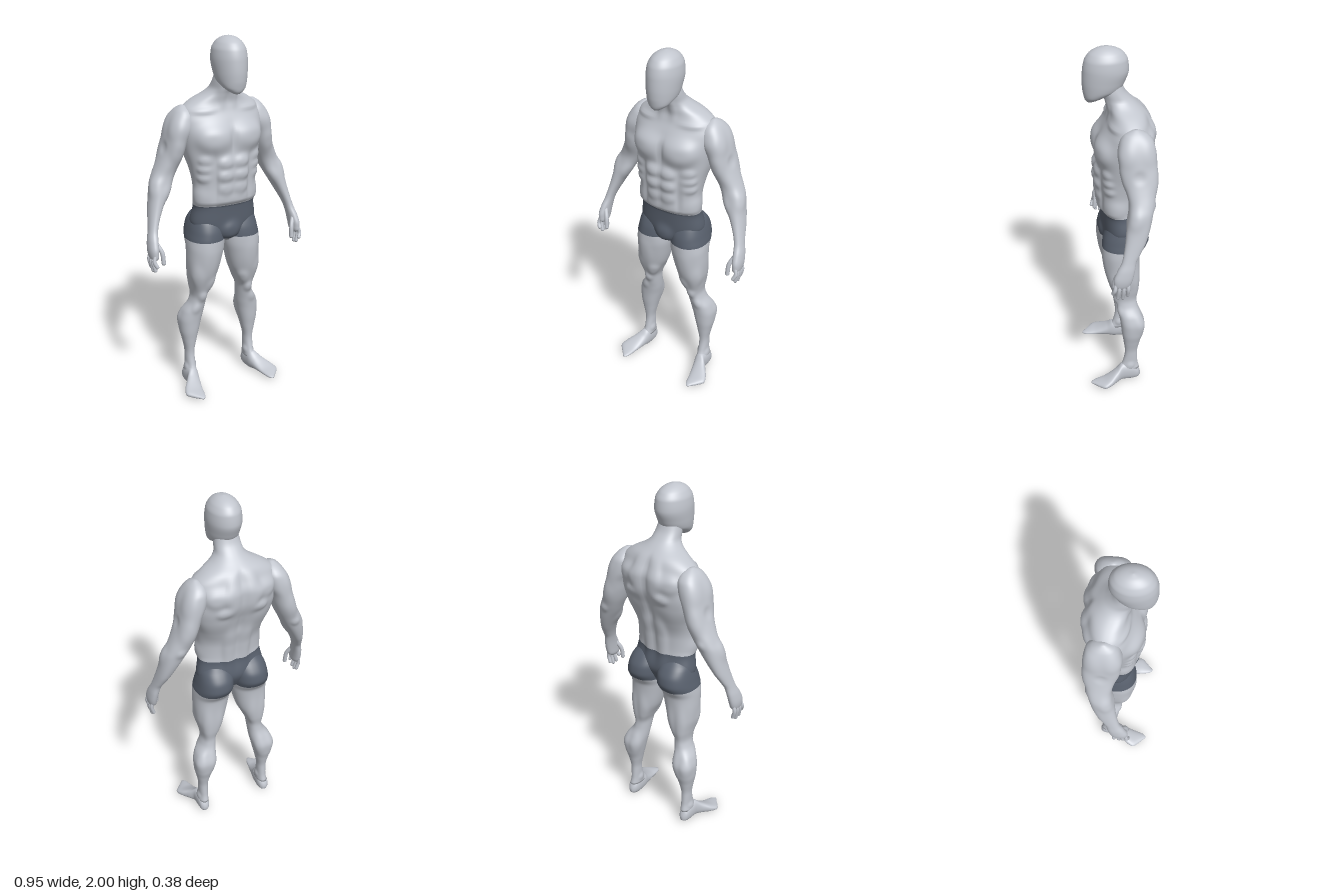
import * as THREE from 'three';

const skin = new THREE.MeshStandardMaterial({ color: 0xc2c6ce });
skin.name = 'pale grey skin';
const cloth = new THREE.MeshStandardMaterial({ color: 0x59616e });
cloth.name = 'slate shorts';

// Smooth monotone interpolation of column c of the key sections at height y
function sample(keys, c, y) {
  const last = keys.length - 1;
  let k = 0;
  while (k < last - 1 && y > keys[k + 1][0]) k++;
  const sec = (i) => (keys[i + 1][c] - keys[i][c]) / (keys[i + 1][0] - keys[i][0]);
  const slope = (i) => {
    if (i === 0) return sec(0);
    if (i === last) return sec(last - 1);
    const a = sec(i - 1), b = sec(i);
    return a * b <= 0 ? 0 : (2 * a * b) / (a + b);
  };
  const h = keys[k + 1][0] - keys[k][0];
  const t = Math.min(1, Math.max(0, (y - keys[k][0]) / h));
  const t2 = t * t, t3 = t2 * t;
  return (2 * t3 - 3 * t2 + 1) * keys[k][c] + (t3 - 2 * t2 + t) * h * slope(k)
    + (3 * t2 - 2 * t3) * keys[k + 1][c] + (t3 - t2) * h * slope(k + 1);
}

// Loft of rounded sections [y, xMin, xMax, zMin, zMax], swollen by muscles
// [x, y, z, radius, height radius, amount]; the band 0.9 < y < 1.1 can be cloth
function loft(name, keys, { muscles = [], mirror = false, power = 2.25, step = 0.01, seg = 64, shorts = false } = {}) {
  const y0 = keys[0][0], y1 = keys[keys.length - 1][0];
  const rows = Math.round((y1 - y0) / step);
  const pos = [], skinIdx = [], clothIdx = [];
  const soft = (v) => Math.sign(v) * Math.abs(v) ** (2 / power);
  const centre = (y) => {
    const [a, b, c, d] = [1, 2, 3, 4].map((i) => sample(keys, i, y));
    return { x: (a + b) / 2, z: (c + d) / 2, w: (b - a) / 2, d: (d - c) / 2 };
  };
  for (let i = 0; i <= rows; i++) {
    const y = y0 + ((y1 - y0) * i) / rows, s = centre(y);
    for (let j = 0; j < seg; j++) {
      const a = (j / seg) * Math.PI * 2;
      let x = s.x + s.w * soft(Math.cos(a)), z = s.z + s.d * soft(Math.sin(a));
      let push = 0;
      for (const [mx, my, mz, r, ry, amt] of muscles) {
        const px = mirror ? Math.abs(x) : x;
        const q = ((px - mx) / r) ** 2 + ((y - my) / ry) ** 2 + ((z - mz) / r) ** 2;
        push += amt * Math.exp(-(q ** 1.5));
      }
      const len = Math.hypot(x - s.x, z - s.z) || 1;
      pos.push(x + ((x - s.x) / len) * push, y, z + ((z - s.z) / len) * push);
    }
  }
  for (let i = 0; i < rows; i++) {
    const mid = y0 + ((y1 - y0) * (i + 0.5)) / rows;
    const out = shorts && mid > 0.9 && mid < 1.1 ? clothIdx : skinIdx;
    for (let j = 0; j < seg; j++) {
      const a = i * seg + j, b = i * seg + ((j + 1) % seg);
      out.push(a, a + seg, b, b, a + seg, b + seg);
    }
  }
  // End caps
  for (const [y, row] of [[y0, 0], [y1, rows]]) {
    const s = centre(y), c = pos.length / 3;
    pos.push(s.x, y, s.z);
    for (let j = 0; j < seg; j++) {
      const a = row * seg + j, b = row * seg + ((j + 1) % seg);
      const out = shorts && y > 0.9 && y < 1.1 ? clothIdx : skinIdx;
      if (row) out.push(c, b, a); else out.push(c, a, b);
    }
  }
  const g = new THREE.BufferGeometry();
  g.setAttribute('position', new THREE.Float32BufferAttribute(pos, 3));
  g.setIndex([...skinIdx, ...clothIdx]);
  g.addGroup(0, skinIdx.length, 0);
  g.addGroup(skinIdx.length, clothIdx.length, 1);
  g.computeVertexNormals();
  const mesh = new THREE.Mesh(g, [skin, cloth]);
  mesh.name = name;
  return mesh;
}

const even = (rows) => rows.map(([y, w, zb, zf]) => [y, -w, w, zb, zf]);

function makeTorso() {
  const keys = even([
    [0.88, 0.03, -0.05, 0.05], [0.92, 0.10, -0.08, 0.09], [1.0, 0.195, -0.11, 0.095],
    [1.1, 0.18, -0.09, 0.10], [1.12, 0.181, -0.09, 0.117], [1.2, 0.182, -0.095, 0.12],
    [1.3, 0.195, -0.12, 0.125], [1.4, 0.218, -0.15, 0.117], [1.5, 0.235, -0.168, 0.108],
    [1.56, 0.24, -0.168, 0.088], [1.62, 0.22, -0.152, 0.062], [1.66, 0.17, -0.138, 0.052],
    [1.7, 0.1, -0.1, 0.06], [1.73, 0.074, -0.068, 0.075], [1.77, 0.068, -0.035, 0.088], [1.82, 0.06, -0.015, 0.1]]);
  const muscles = [
    [0.1, 1.475, 0.1, 0.093, 0.075, 0.034], [0, 1.48, 0.12, 0.016, 0.08, -0.012], // chest
    [0.14, 1.615, 0.05, 0.06, 0.014, 0.01], [0.035, 1.68, 0.06, 0.022, 0.05, 0.008], // collar and neck
    [0.045, 1.345, 0.12, 0.042, 0.033, 0.017], [0.045, 1.272, 0.12, 0.042, 0.033, 0.017],
    [0.043, 1.2, 0.12, 0.04, 0.034, 0.013], [0.04, 1.14, 0.12, 0.045, 0.03, 0.005], // abdominals
    [0.105, 1.25, 0.1, 0.018, 0.13, -0.009],
    [0.16, 1.15, 0.04, 0.06, 0.05, 0.009], // flanks
    [0.15, 1.36, 0.08, 0.035, 0.025, 0.011], [0.155, 1.31, 0.075, 0.035, 0.022, 0.011],
    [0.155, 1.26, 0.07, 0.035, 0.022, 0.01], // ribs
    [0.15, 1.4, -0.12, 0.085, 0.13, 0.016], [0.13, 1.55, -0.15, 0.06, 0.05, 0.02],
    [0.05, 1.55, -0.16, 0.04, 0.11, 0.022], [0.095, 1.46, -0.16, 0.035, 0.03, 0.014], // upper back
    [0.045, 1.2, -0.1, 0.035, 0.16, 0.015], [0, 1.36, -0.14, 0.02, 0.3, -0.012], // spine
    [0, 0.95, 0.09, 0.05, 0.05, 0.018]];
  return loft('torso', keys, { muscles, mirror: true, seg: 112, shorts: true });
}

function makeHead() {
  return loft('head', even([
    [1.712, 0.016, 0.125, 0.16], [1.725, 0.038, 0.1, 0.17], [1.745, 0.06, 0.06, 0.176],
    [1.78, 0.077, -0.012, 0.182], [1.82, 0.084, -0.036, 0.184], [1.88, 0.089, -0.055, 0.181],
    [1.93, 0.084, -0.05, 0.171], [1.965, 0.067, -0.03, 0.15], [1.985, 0.046, -0.002, 0.122],
    [1.996, 0.024, 0.03, 0.092], [2.0, 0.004, 0.055, 0.065]]), { power: 2, step: 0.004 });
}

function makeLeg() {
  const keys = [
    [0.08, 0.168, 0.23, -0.095, 0.025], [0.13, 0.17, 0.222, -0.085, 0], [0.2, 0.17, 0.222, -0.083, -0.012],
    [0.28, 0.155, 0.235, -0.098, -0.003], [0.34, 0.14, 0.247, -0.115, 0.006], [0.4, 0.126, 0.25, -0.12, 0.012],
    [0.46, 0.115, 0.235, -0.104, 0.02], [0.52, 0.11, 0.198, -0.085, 0.03], [0.56, 0.107, 0.188, -0.08, 0.04],
    [0.62, 0.085, 0.197, -0.088, 0.055], [0.7, 0.047, 0.212, -0.095, 0.078], [0.8, 0.021, 0.217, -0.1, 0.096],
    [0.85, 0.011, 0.217, -0.105, 0.102], [0.9, 0.006, 0.215, -0.135, 0.104], [0.94, 0.005, 0.208, -0.153, 0.1],
    [0.98, 0.006, 0.2, -0.148, 0.088], [1.03, 0.015, 0.184, -0.118, 0.06], [1.08, 0.07, 0.13, -0.06, 0]];
  const muscles = [
    [0.1, 0.63, 0.05, 0.035, 0.05, 0.013], [0.185, 0.68, 0.05, 0.04, 0.08, 0.01],
    [0.13, 0.77, 0.09, 0.045, 0.12, 0.008], [0.148, 0.56, 0.04, 0.025, 0.028, 0.009], // thigh and knee
    [0.105, 0.66, -0.08, 0.03, 0.12, 0.008], [0.17, 0.66, -0.08, 0.03, 0.12, 0.008],
    [0.15, 0.41, -0.11, 0.035, 0.08, 0.009], [0.225, 0.42, -0.1, 0.035, 0.07, 0.009],
    [0.185, 0.49, 0.025, 0.025, 0.03, 0.006], // calf and shin
    [0.22, 0.11, -0.04, 0.022, 0.02, 0.007], [0.17, 0.12, -0.035, 0.022, 0.02, 0.007]]; // ankle
  return loft('leg', keys, { muscles, shorts: true });
}

// Foot sections run along z, so the loft is tipped forward: [z, xMin, xMax, -top, -sole]
function makeFoot() {
  const foot = loft('foot', [
    [-0.1, 0.19, 0.212, -0.05, -0.02], [-0.085, 0.175, 0.228, -0.08, -0.008], [-0.05, 0.167, 0.234, -0.11, 0],
    [0, 0.169, 0.236, -0.115, -0.002], [0.04, 0.178, 0.262, -0.085, -0.006], [0.08, 0.188, 0.291, -0.06, -0.006],
    [0.115, 0.197, 0.303, -0.044, -0.005], [0.15, 0.205, 0.278, -0.034, -0.006],
    [0.178, 0.214, 0.25, -0.026, -0.008], [0.192, 0.226, 0.238, -0.02, -0.013]], { step: 0.006, seg: 40 });
  foot.geometry.rotateX(Math.PI / 2);
  return foot;
}

function makeArm() {
  const keys = [
    [0.85, 0.44, 0.46, 0.03, 0.07], [0.865, 0.428, 0.47, 0.006, 0.09], [0.9, 0.424, 0.474, -0.008, 0.09],
    [0.95, 0.418, 0.468, -0.02, 0.072], [1.0, 0.408, 0.455, -0.03, 0.045], [1.04, 0.394, 0.446, -0.052, 0.034],
    [1.1, 0.365, 0.434, -0.085, 0.022], [1.18, 0.32, 0.418, -0.113, 0.01], [1.24, 0.285, 0.404, -0.128, -0.003],
    [1.28, 0.265, 0.386, -0.138, -0.006], [1.34, 0.236, 0.358, -0.148, 0.004], [1.4, 0.215, 0.334, -0.155, 0.016],
    [1.46, 0.198, 0.318, -0.158, 0.03], [1.52, 0.17, 0.303, -0.155, 0.038], [1.58, 0.16, 0.28, -0.145, 0.025],
    [1.62, 0.175, 0.253, -0.112, -0.002], [1.64, 0.205, 0.225, -0.07, -0.045]];
  const muscles = [
    [0.285, 1.53, 0, 0.045, 0.07, 0.008], [0.275, 1.53, -0.12, 0.045, 0.07, 0.008],
    [0.325, 1.425, -0.06, 0.03, 0.03, -0.007], // shoulder
    [0.275, 1.4, 0.015, 0.04, 0.065, 0.01], [0.3, 1.39, -0.145, 0.045, 0.07, 0.009], // upper arm
    [0.335, 1.265, -0.135, 0.022, 0.025, 0.007], [0.4, 1.23, -0.03, 0.04, 0.06, 0.009],
    [0.32, 1.18, -0.02, 0.04, 0.06, 0.008]]; // elbow and forearm
  return loft('arm', keys, { muscles });
}

// Curled finger: a tapered tube through three joints with a round tip
function makeFinger(name, joints, r) {
  const finger = new THREE.Group();
  finger.name = name;
  const pts = joints.map((p) => new THREE.Vector3(...p));
  const tube = new THREE.Mesh(new THREE.TubeGeometry(new THREE.CatmullRomCurve3(pts), 12, r, 12), skin);
  const tip = new THREE.Mesh(new THREE.SphereGeometry(r, 12, 10), skin);
  tip.position.copy(pts[2]);
  finger.add(tube, tip);
  return finger;
}

export function createModel() {
  const model = new THREE.Group();
  model.name = 'athleticFigure';
  model.add(makeTorso(), makeHead());

  // Limbs for the left side, mirrored to the right
  for (const [side, s] of [['left', 1], ['right', -1]]) {
    const limbs = new THREE.Group();
    limbs.name = side + 'Limbs';
    limbs.add(makeLeg(), makeFoot(), makeArm());
    [[0.077, 0.094, 0.825], [0.056, 0.07, 0.797], [0.035, 0.044, 0.792], [0.014, 0.018, 0.808]].forEach(([z0, z1, y], i) =>
      limbs.add(makeFinger('finger' + (i + 1), [[0.45, 0.89, z0], [0.462, 0.85, (z0 + z1) / 2], [0.452, y, z1]], 0.0105)));
    limbs.add(makeFinger('thumb', [[0.435, 0.945, 0.05], [0.412, 0.89, 0.075], [0.408, 0.835, 0.082]], 0.012));
    limbs.scale.x = s;
    model.add(limbs);
  }
  return model;
}
